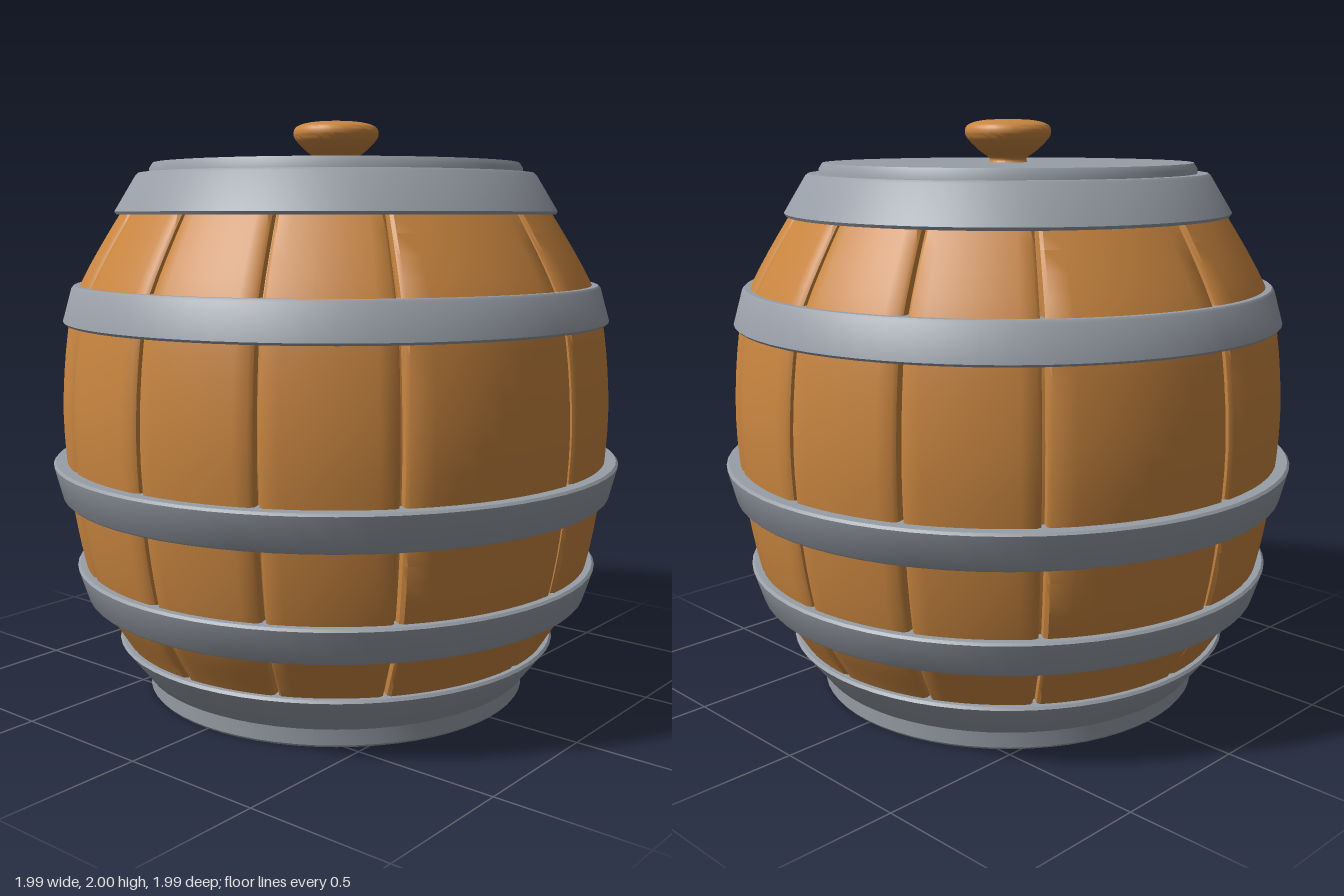
import * as THREE from 'three';
import { toCreasedNormals } from 'three/addons/utils/BufferGeometryUtils.js';

const wood = new THREE.MeshStandardMaterial({ name: 'wood', color: 0xca8640 });
const metal = new THREE.MeshStandardMaterial({ name: 'greyMetal', color: 0x989ea7 });

const SIDES = 64;
const toPoints = (list) => list.map(([r, y]) => new THREE.Vector2(r, y));

// Bulging outline of the wooden body, as radius and height
const outline = new THREE.SplineCurve(toPoints([
  [0.69, 0.08], [0.76, 0.2], [0.855, 0.36], [0.9, 0.5], [0.937, 0.72], [0.957, 1.0],
  [0.935, 1.28], [0.89, 1.44], [0.75, 1.68], [0.66, 1.8],
])).getPoints(36);

function turned(name, profile, material, crease = 0.6) {
  const geometry = toCreasedNormals(new THREE.LatheGeometry(toPoints(profile), SIDES), crease);
  const mesh = new THREE.Mesh(geometry, material);
  mesh.name = name;
  return mesh;
}

// A flat band with softened outer edges, sloping from radius r0 to r1
function hoop(name, y0, r0, y1, r1) {
  const b = 0.008;
  return turned(name, [
    [r0 - 0.09, y0], [r0 - b, y0], [r0, y0 + b],
    [r1, y1 - b], [r1 - b, y1], [r1 - 0.09, y1],
  ], metal);
}

// One plank between two seam angles; its long edges drop into the seam
function stave(startDeg, endDeg) {
  const segments = 12, depth = 0.045;
  const geometry = new THREE.LatheGeometry(outline, segments);
  const p = geometry.attributes.position;
  const rows = outline.length;
  for (let i = 0; i <= segments; i++) {
    const edge = Math.min(i, segments - i);
    const inset = [0.3, 0.5, 1.3][Math.min(edge, 2)];
    const t = (i - 2) / (segments - 4);
    let deg = startDeg + 1.3 + t * (endDeg - startDeg - 2.6);
    if (edge < 2) deg = i < 2 ? startDeg + inset : endDeg - inset;
    const drop = edge === 0 ? depth : edge === 1 ? 0.01 : 0;
    const a = THREE.MathUtils.degToRad(deg);
    for (let j = 0; j < rows; j++) {
      const r = outline[j].x - drop;
      p.setXYZ(i * rows + j, Math.sin(a) * r, outline[j].y, Math.cos(a) * r);
    }
  }
  geometry.computeVertexNormals();
  const mesh = new THREE.Mesh(toCreasedNormals(geometry, 0.7), wood);
  mesh.name = 'stave';
  return mesh;
}

export function createModel() {
  const barrel = new THREE.Group();
  barrel.name = 'barrel';

  // Wooden body: an inner core seen through the seams, and twelve staves
  const body = new THREE.Group();
  body.name = 'body';
  body.add(turned('core', outline.map((v) => [v.x - 0.04, v.y]), wood, 1));
  const seams = [0, 25, 51, 90, 129, 155, 180, 205, 231, 270, 309, 335, 360];
  for (let i = 0; i < seams.length - 1; i++) body.add(stave(seams[i], seams[i + 1]));
  barrel.add(body);

  // Three bands around the belly
  barrel.add(
    hoop('lowerHoop', 0.35, 0.89, 0.472, 0.924),
    hoop('middleHoop', 0.71, 0.967, 0.838, 0.996),
    hoop('upperHoop', 1.312, 0.95, 1.442, 0.918),
  );

  // Metal foot with its flared collar
  barrel.add(turned('foot', [
    [0, 0], [0.67, 0], [0.676, 0.008], [0.678, 0.062], [0.69, 0.068],
    [0.782, 0.188], [0.775, 0.197], [0.7, 0.197],
  ], metal));

  // Metal shoulder with a raised lid
  barrel.add(turned('shoulder', [
    [0.68, 1.68], [0.762, 1.68], [0.768, 1.69], [0.694, 1.812], [0.685, 1.82], [0.6, 1.82],
  ], metal));
  barrel.add(turned('lid', [
    [0.65, 1.8], [0.648, 1.835], [0.635, 1.855], [0, 1.855],
  ], metal));

  // Wooden knob
  const knob = new THREE.SplineCurve(toPoints([
    [0.07, 1.85], [0.064, 1.868], [0.1, 1.895], [0.14, 1.935], [0.148, 1.962],
    [0.134, 1.983], [0.085, 1.996], [0, 2.0],
  ])).getPoints(24).map((v) => [Math.max(0, v.x), v.y]);
  barrel.add(turned('knob', knob, wood, 1));

  return barrel;
}
